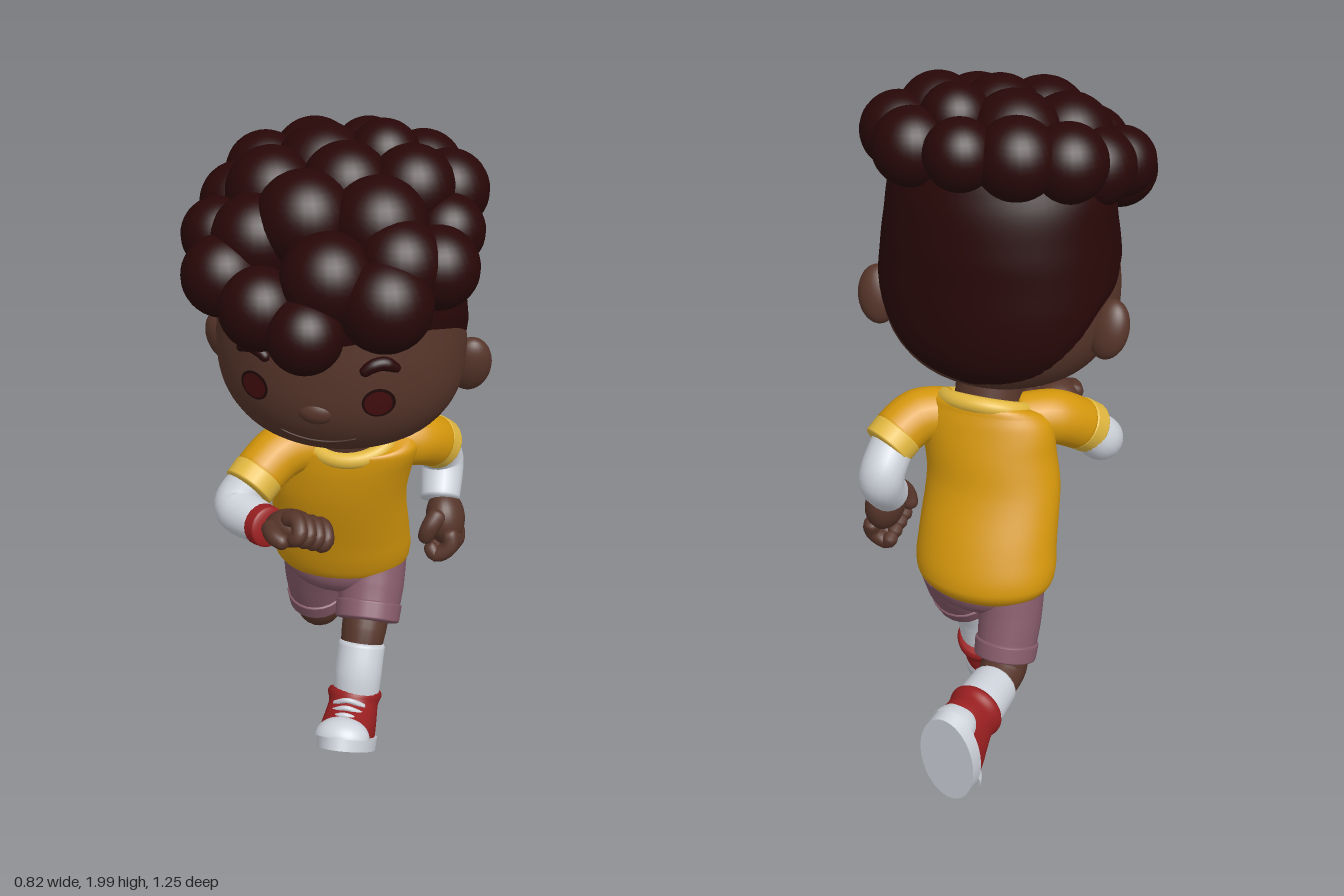
import * as THREE from 'three';
import { mergeVertices } from 'three/addons/utils/BufferGeometryUtils.js';

const mat = (name, color) => Object.assign(new THREE.MeshStandardMaterial({ color }), { name });
const skin = mat('skin', 0x56352a), hair = mat('hair', 0x280707), shirt = mat('shirt yellow', 0xd5970c);
const trim = mat('trim yellow', 0xe2b840), white = mat('white', 0xced2da), red = mat('red', 0x991f20);
const pink = mat('shorts pink', 0x855a69), iris = mat('eye red', 0x420d0d), dark = mat('dark', 0x1f0808);
const lip = mat('lip', 0x40251d);

const V = p => new THREE.Vector3(...p);
const add = (parent, name, geo, material) => {
  const m = new THREE.Mesh(geo, material);
  m.name = name;
  parent.add(m);
  return m;
};
// Ellipsoid, or only its upper part when arc is below PI
const ball = (parent, name, pos, scale, material, arc = Math.PI) => {
  const m = add(parent, name, new THREE.SphereGeometry(1, 28, 20, 0, Math.PI * 2, 0, arc), material);
  m.position.set(...pos);
  m.scale.set(...scale);
  return m;
};

// Closed surface around the y axis: fn(angle, v) gives a point, angle 0 is the front
function surface(fn, nu, nv) {
  const pos = [], idx = [];
  for (let j = 0; j <= nv; j++) for (let i = 0; i < nu; i++) pos.push(...fn(i / nu * Math.PI * 2, j / nv));
  for (let j = 0; j < nv; j++) for (let i = 0; i < nu; i++) {
    const a = j * nu + i, b = j * nu + (i + 1) % nu;
    idx.push(a, b, b + nu, a, b + nu, a + nu);
  }
  const g = new THREE.BufferGeometry();
  g.setAttribute('position', new THREE.Float32BufferAttribute(pos, 3));
  g.setIndex(idx);
  g.computeVertexNormals();
  return g;
}

// Smooth interpolation of rows keyed by their first value
function at(rows, y) {
  let i = 0;
  while (i < rows.length - 2 && y > rows[i + 1][0]) i++;
  const a = rows[i], b = rows[i + 1], p = rows[Math.max(i - 1, 0)], q = rows[Math.min(i + 2, rows.length - 1)];
  const h = b[0] - a[0], t = THREE.MathUtils.clamp((y - a[0]) / h, 0, 1), t2 = t * t, t3 = t2 * t;
  return a.map((v, k) => {
    const m0 = (b[k] - p[k]) / (b[0] - p[0]) * h, m1 = (q[k] - v) / (q[0] - a[0]) * h;
    return (2 * t3 - 3 * t2 + 1) * v + (t3 - 2 * t2 + t) * m0 + (3 * t2 - 2 * t3) * b[k] + (t3 - t2) * m1;
  });
}

// Elliptical rings stacked in y; each row: y, centre x, centre z, radius x, radius z, tilt
function loft(rows, nu = 48, per = 5) {
  return surface((a, v) => {
    const f = v * (rows.length - 1), i = Math.min(Math.floor(f), rows.length - 2);
    const y = THREE.MathUtils.lerp(rows[i][0], rows[i + 1][0], f - i);
    const [, cx, cz, rx, rz, tilt] = at(rows, y);
    return [cx + Math.max(rx, 0) * Math.sin(a), y + tilt * Math.cos(a), cz + Math.max(rz, 0) * Math.cos(a)];
  }, nu, per * (rows.length - 1));
}

// Tube of varying radius along a curve, with rounded ends
function limb(points, radii, cap = 0.012, segs = 28, sides = 22) {
  const curve = new THREE.CatmullRomCurve3(points.map(V)), len = curve.getLength();
  const g = new THREE.TubeGeometry(curve, segs, 1, sides);
  const p = g.attributes.position, v = new THREE.Vector3();
  for (let i = 0; i <= segs; i++) {
    const u = i / segs, c = curve.getPointAt(u), f = u * (radii.length - 1);
    const k = Math.min(Math.floor(f), radii.length - 2);
    const d = Math.min(1, Math.min(u, 1 - u) * len / cap);
    const r = THREE.MathUtils.lerp(radii[k], radii[k + 1], f - k) * Math.sqrt(1 - (1 - d) ** 2);
    for (let j = 0; j <= sides; j++) {
      const n = i * (sides + 1) + j;
      v.fromBufferAttribute(p, n).sub(c).multiplyScalar(r).add(c);
      p.setXYZ(n, v.x, v.y, v.z);
    }
  }
  g.deleteAttribute('uv');
  g.deleteAttribute('normal');
  const m = mergeVertices(g, 1e-5);
  m.computeVertexNormals();
  return m;
}

const HEAD = [[1.115, 0, 0.1, 0.005, 0.005, 0], [1.125, 0, 0.1, 0.12, 0.11, 0], [1.16, 0, 0.1, 0.225, 0.2, 0],
  [1.22, 0, 0.1, 0.295, 0.255, 0], [1.3, 0, 0.1, 0.335, 0.285, 0], [1.4, 0, 0.1, 0.346, 0.292, 0],
  [1.5, 0, 0.1, 0.338, 0.287, 0], [1.6, 0, 0.1, 0.325, 0.28, 0], [1.75, 0, 0.1, 0.295, 0.245, 0],
  [1.85, 0, 0.09, 0.2, 0.16, 0], [1.88, 0, 0.08, 0.005, 0.005, 0]];
const HAIRLINE = [[0, 1.49], [0.8, 1.52], [1.3, 1.49], [1.6, 1.45], [1.9, 1.41], [2.15, 1.33], [2.5, 1.23], [3.15, 1.18]];
const faceZ = (x, y) => {
  const [, , cz, rx, rz] = at(HEAD, y);
  return cz + rz * Math.sqrt(Math.max(0, 1 - (x / rx) ** 2));
};
// Thin disc wrapped onto the face
function faceDisc(x, y, rx, ry, lift) {
  const g = new THREE.CircleGeometry(1, 28), p = g.attributes.position;
  for (let i = 0; i < p.count; i++) {
    const px = x + p.getX(i) * rx, py = y + p.getY(i) * ry;
    p.setXYZ(i, px, py, faceZ(px, py) + lift);
  }
  g.computeVertexNormals();
  return g;
}

function buildHead() {
  const g = new THREE.Group();
  g.name = 'head';
  add(g, 'face', loft(HEAD, 64), skin);
  add(g, 'hairCap', surface((a, v) => {
    const y0 = at(HAIRLINE, a > Math.PI ? 2 * Math.PI - a : a)[1], y = y0 + (1.88 - y0) * v;
    const [, , cz, rx, rz] = at(HEAD, y), o = 0.008 * Math.min(1, v * 12);
    return [(rx + o) * Math.sin(a), y + (v > 0.9 ? 0.01 : 0), cz + (rz + o) * Math.cos(a)];
  }, 72, 36), hair);
  // Curls: rim first, then crown
  const curls = [[0.03, 1.86, -0.12, 0.1], [0.19, 1.84, -0.07, 0.11], [0.28, 1.83, 0.05, 0.11], [0.3, 1.76, 0.17, 0.1],
    [0.3, 1.71, 0.31, 0.11], [0.19, 1.65, 0.44, 0.125], [0, 1.58, 0.52, 0.1], [-0.13, 1.62, 0.46, 0.11],
    [-0.25, 1.67, 0.38, 0.11], [-0.29, 1.74, 0.27, 0.1], [-0.27, 1.78, 0.12, 0.11], [-0.23, 1.83, 0, 0.11],
    [-0.11, 1.85, -0.07, 0.115], [0.1, 1.9, 0.02, 0.1], [-0.06, 1.86, 0.05, 0.13], [0.2, 1.86, 0.14, 0.115],
    [0.03, 1.86, 0.17, 0.12], [-0.17, 1.83, 0.17, 0.125], [0.14, 1.8, 0.28, 0.13], [-0.05, 1.81, 0.3, 0.13],
    [-0.18, 1.75, 0.31, 0.12], [0.04, 1.7, 0.43, 0.125], [0.21, 1.73, 0.36, 0.12]];
  curls.forEach(([x, y, z, r]) => ball(g, 'curl', [x, y, z], [r, r, r], hair));
  // Features sit slightly rolled: the -x side is higher
  for (const s of [-1, 1]) {
    const ear = ball(g, 'ear', [s * 0.348, 1.335 - s * 0.01, 0.03], [0.06, 0.087, 0.044], skin);
    ear.rotation.set(0.28, s * 0.2, -s * 0.15);
    const x = s * 0.17 - 0.011, y = 1.345 - s * 0.007;
    add(g, 'eye', faceDisc(x, y, 0.042, 0.042, 0.006), dark);
    add(g, 'iris', faceDisc(x, y, 0.035, 0.035, 0.009), iris);
    const brow = [[-0.045, 0.083], [-0.018, 0.105], [0.012, 0.111], [0.052, 0.088]];
    add(g, 'eyebrow', limb(brow.map(([dx, dy]) => [x + s * dx, y + dy, faceZ(x + s * dx, y + dy) + 0.002]),
      [0.013, 0.019, 0.019, 0.01], 0.012), hair);
  }
  ball(g, 'nose', [-0.007, 1.3, 0.36], [0.056, 0.038, 0.036], skin);
  const mouth = Array.from({ length: 9 }, (_, i) => {
    const x = (i - 4) * 0.027 - 0.01, y = 1.2 + 1.7 * x * x;
    return [x, y, faceZ(x, y) + 0.001];
  });
  add(g, 'mouth', limb(mouth, [0.003, 0.005, 0.003], 0.01), lip);
  return g;
}

// Half-closed hand hanging along -y, turned to point along dir
function buildHand(pos, dir, scale) {
  const g = new THREE.Group();
  g.name = 'hand';
  ball(g, 'palm', [0, -0.055, 0], [0.047, 0.068, 0.06], skin);
  for (let k = 0; k < 4; k++) {
    const z = (k - 1.5) * 0.029;
    add(g, 'finger', limb([[0.015, -0.075, z], [0.012, -0.12, z], [-0.025, -0.138, z], [-0.04, -0.105, z]],
      [0.021, 0.02, 0.018], 0.02, 20, 12), skin);
  }
  add(g, 'thumb', limb([[0, -0.03, 0.045], [-0.03, -0.07, 0.062], [-0.05, -0.105, 0.045]], [0.025, 0.022, 0.019], 0.02, 20, 12), skin);
  g.position.set(...pos);
  g.quaternion.setFromUnitVectors(new THREE.Vector3(0, -1, 0), V(dir).normalize());
  g.scale.setScalar(scale);
  return g;
}

// High-top shoe, sole on y = 0, toe towards +z
function buildShoe(pos, pitch, roll) {
  const g = new THREE.Group();
  g.name = 'shoe';
  const sole = add(g, 'sole', new THREE.CylinderGeometry(1, 0.98, 0.04, 48), white);
  sole.scale.set(0.088, 1, 0.154);
  sole.position.y = 0.02;
  add(g, 'upper', loft([[0.03, 0, 0, 0.08, 0.146, 0], [0.07, 0, -0.005, 0.08, 0.138, 0], [0.1, 0, -0.025, 0.077, 0.115, 0],
    [0.135, 0, -0.045, 0.074, 0.087, 0], [0.178, 0, -0.05, 0.076, 0.078, 0], [0.186, 0, -0.05, 0.02, 0.02, 0]]), red);
  ball(g, 'toeCap', [0, 0.036, 0.085], [0.083, 0.062, 0.067], white, Math.PI / 2);
  ball(g, 'heelPatch', [0, 0.036, -0.095], [0.066, 0.08, 0.056], white, Math.PI / 2);
  [[0.102, 0.078], [0.122, 0.058], [0.144, 0.04]].forEach(([y, z]) =>
    add(g, 'lace', limb([[-0.05, y - 0.015, z - 0.022], [0, y, z + 0.01], [0.05, y - 0.015, z - 0.022]], [0.008, 0.008], 0.008, 16, 10), white));
  g.position.set(...pos);
  g.rotation.set(pitch, 0, roll);
  return g;
}

export function createModel() {
  const root = new THREE.Group();
  root.name = 'runningBoy';
  root.add(buildHead());
  add(root, 'neck', limb([[-0.01, 0.99, -0.025], [-0.005, 1.1, 0], [0, 1.22, 0.04]], [0.1, 0.096, 0.095], 0.03), skin);

  // Shirt with collar
  add(root, 'shirt', loft([[0.526, -0.055, -0.155, 0.01, 0.01, 0], [0.533, -0.055, -0.155, 0.12, 0.08, 0],
    [0.551, -0.055, -0.155, 0.175, 0.128, 0], [0.6, -0.055, -0.152, 0.207, 0.156, 0], [0.7, -0.05, -0.12, 0.206, 0.155, 0],
    [0.85, -0.043, -0.06, 0.2, 0.142, 0], [0.95, -0.022, -0.037, 0.199, 0.137, 0], [1.02, -0.005, -0.025, 0.204, 0.126, -0.005],
    [1.055, 0, -0.018, 0.186, 0.114, -0.025], [1.07, 0, -0.014, 0.145, 0.097, -0.045], [1.073, 0, -0.012, 0.06, 0.05, -0.035]]), shirt);
  const collar = new THREE.CatmullRomCurve3(Array.from({ length: 12 }, (_, i) => {
    const a = i / 12 * Math.PI * 2;
    return new THREE.Vector3(0.122 * Math.sin(a), 1.06 - 0.047 * Math.cos(a), -0.012 + 0.096 * Math.cos(a));
  }), true);
  add(root, 'collar', new THREE.TubeGeometry(collar, 64, 0.025, 14, true), trim);

  // Arm swung back (+x)
  add(root, 'sleeve', limb([[0.08, 1.02, -0.03], [0.175, 1.02, -0.09], [0.23, 0.975, -0.17]], [0.075, 0.08, 0.075], 0.025), shirt);
  add(root, 'sleeveBand', limb([[0.21, 0.995, -0.143], [0.237, 0.955, -0.195]], [0.078, 0.076]), trim);
  add(root, 'undersleeve', limb([[0.218, 0.98, -0.165], [0.232, 0.885, -0.235], [0.242, 0.78, -0.16]], [0.064, 0.066, 0.058]), white);
  root.add(buildHand([0.25, 0.8, -0.17], [0.03, -0.16, 0.05], 1.22));

  // Arm swung forward (-x)
  add(root, 'sleeve', limb([[-0.08, 1.02, -0.01], [-0.18, 1.015, 0.06], [-0.248, 0.955, 0.145]], [0.075, 0.08, 0.075], 0.025), shirt);
  add(root, 'sleeveBand', limb([[-0.23, 0.975, 0.122], [-0.262, 0.933, 0.172]], [0.078, 0.076]), trim);
  add(root, 'undersleeve', limb([[-0.245, 0.96, 0.14], [-0.284, 0.895, 0.19], [-0.18, 0.882, 0.275]], [0.064, 0.068, 0.058]), white);
  add(root, 'wristband', limb([[-0.2, 0.882, 0.26], [-0.158, 0.89, 0.296]], [0.061, 0.058]), red);
  root.add(buildHand([-0.145, 0.892, 0.295], [0.12, 0.05, 0.07], 1.15));

  // Shorts
  ball(root, 'shortsSeat', [-0.05, 0.565, -0.15], [0.18, 0.1, 0.135], pink);
  add(root, 'shortsLeg', limb([[0.04, 0.6, -0.16], [0.045, 0.5, -0.11], [0.045, 0.41, -0.055]], [0.105, 0.1, 0.09]), pink);
  add(root, 'shortsHem', limb([[0.045, 0.462, -0.087], [0.045, 0.402, -0.047]], [0.101, 0.097]), pink);
  add(root, 'shortsLeg', limb([[-0.13, 0.6, -0.15], [-0.148, 0.48, -0.19], [-0.15, 0.37, -0.232]], [0.105, 0.093, 0.085]), pink);
  add(root, 'shortsHem', limb([[-0.15, 0.415, -0.215], [-0.15, 0.35, -0.24]], [0.094, 0.09]), pink);

  // Front leg (+x)
  add(root, 'knee', limb([[0.045, 0.46, -0.07], [0.04, 0.38, -0.02], [0.036, 0.32, 0.01]], [0.07, 0.068, 0.06]), skin);
  add(root, 'sock', limb([[0.04, 0.365, -0.008], [0.036, 0.28, 0.03], [0.03, 0.17, 0.05]], [0.071, 0.072, 0.068]), white);
  root.add(buildShoe([0.026, 0.083, 0.163], -0.54, 0));

  // Rear leg (-x)
  add(root, 'knee', limb([[-0.15, 0.42, -0.215], [-0.15, 0.325, -0.245], [-0.147, 0.3, -0.34]], [0.065, 0.068, 0.06]), skin);
  add(root, 'sock', limb([[-0.146, 0.3, -0.3], [-0.142, 0.3, -0.39], [-0.138, 0.297, -0.5]], [0.07, 0.075, 0.074]), white);
  root.add(buildShoe([-0.122, 0.25, -0.612], 1.47, 0.15));
  return root;
}
